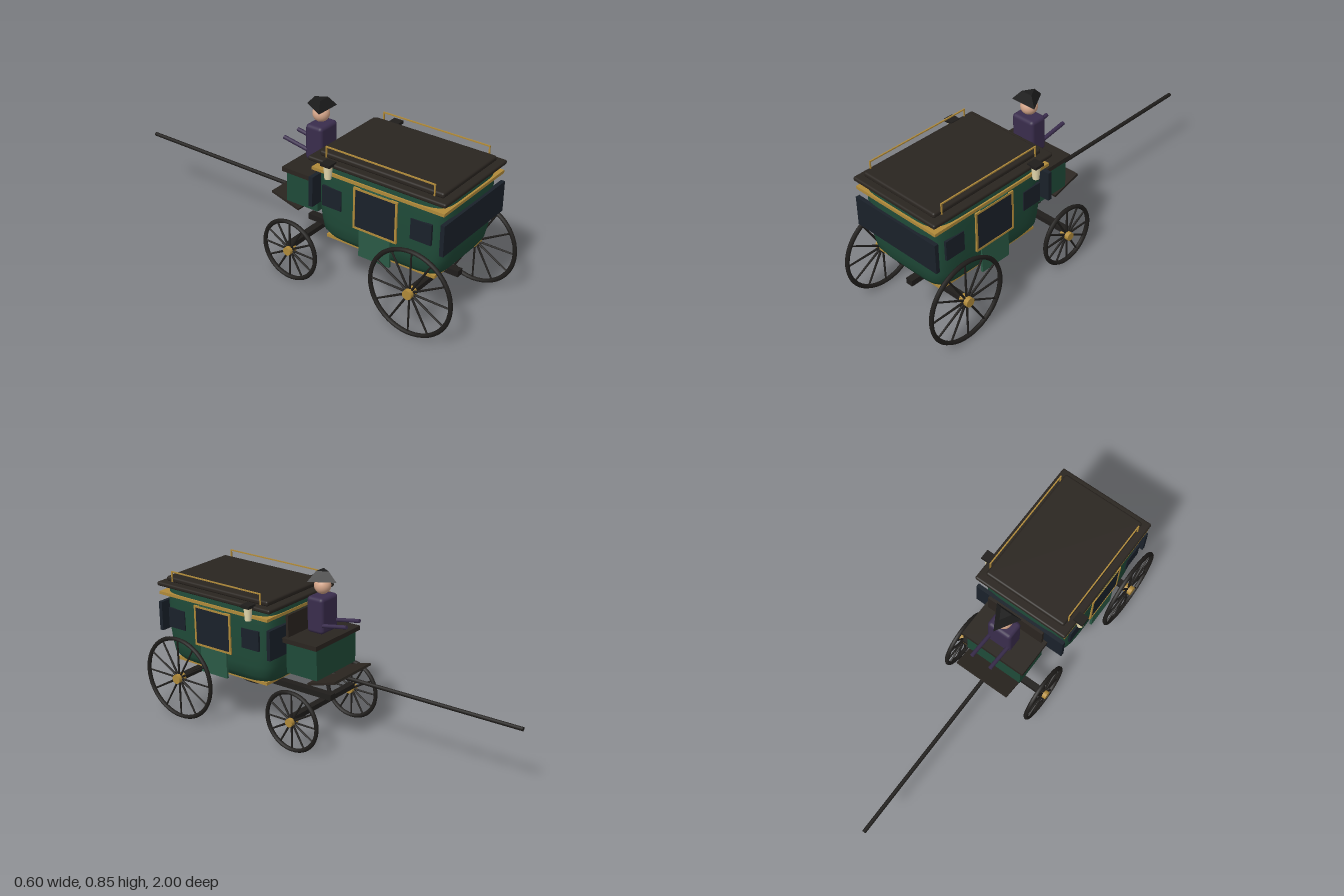
import * as THREE from 'three';
import { RoundedBoxGeometry } from 'three/addons/geometries/RoundedBoxGeometry.js';

const mat = (color) => new THREE.MeshStandardMaterial({ color });

export function createModel() {
  const root = new THREE.Group();
  const green = mat(0x1f4a38), doorGreen = mat(0x2a5a45), gold = mat(0xb08a3a), wood = mat(0x2a2520);
  const glass = mat(0x1a212a), iron = mat(0x201e1c), skin = mat(0xd8a88c), coat = mat(0x3a2d4d);
  const lampGlass = mat(0xe8dcb0), hatBlack = mat(0x1c1c1c);

  const add = (name, geo, material, x = 0, y = 0, z = 0, parent = root) => {
    const m = new THREE.Mesh(geo, material);
    m.name = name;
    m.position.set(x, y, z);
    parent.add(m);
    return m;
  };
  const box = (name, w, h, d, material, x, y, z, parent) =>
    add(name, new THREE.BoxGeometry(w, h, d), material, x, y, z, parent);
  const round = (name, w, h, d, r, material, x, y, z) =>
    add(name, new RoundedBoxGeometry(w, h, d, 3, r), material, x, y, z);

  // Cabin: rounded-rectangle sections lofted upward [y, half width, half length]
  const sections = [
    [0.276, 0.02, 0.03], [0.277, 0.185, 0.28], [0.295, 0.208, 0.302], [0.33, 0.234, 0.322],
    [0.38, 0.239, 0.332], [0.44, 0.243, 0.339], [0.6, 0.245, 0.342], [0.65, 0.24, 0.338], [0.685, 0.236, 0.333],
  ];
  const N = 64, pos = [], idx = [];
  const bend = (v) => Math.sign(v) * Math.pow(Math.abs(v), 0.3);
  sections.forEach(([y, w, l], j) => {
    for (let i = 0; i < N; i++) {
      const a = (i / N) * Math.PI * 2;
      pos.push(w * bend(Math.cos(a)), y, 0.565 + l * bend(Math.sin(a)));
      if (j === sections.length - 1) continue;
      const p = j * N + i, q = j * N + ((i + 1) % N);
      idx.push(p, p + N, q, q, p + N, q + N);
    }
  });
  for (let i = 1; i < N - 1; i++) idx.push(0, i, i + 1);
  const cabin = new THREE.BufferGeometry();
  cabin.setAttribute('position', new THREE.Float32BufferAttribute(pos, 3));
  cabin.setIndex(idx);
  cabin.computeVertexNormals();
  add('cabin', cabin, green);
  box('cabinSill', 0.4, 0.015, 0.58, gold, 0, 0.288, 0.565);
  box('cabinBand', 0.496, 0.015, 0.69, gold, 0, 0.638, 0.568);
  box('rearWindow', 0.5, 0.15, 0.02, glass, 0, 0.515, 0.91);
  box('frontWindow', 0.5, 0.15, 0.02, glass, 0, 0.515, 0.218);

  // Roof
  round('roofEave', 0.51, 0.022, 0.716, 0.009, wood, 0, 0.685, 0.563);
  round('roofTop', 0.44, 0.026, 0.645, 0.01, wood, 0, 0.708, 0.566);

  // Doors, side windows, lamps and roof rails on both sides
  for (const s of [1, -1]) {
    box('doorPanel', 0.012, 0.345, 0.165, doorGreen, s * 0.242, 0.453, 0.568);
    box('doorWindow', 0.012, 0.19, 0.215, glass, s * 0.2425, 0.518, 0.568);
    for (const e of [1, -1]) {
      box('doorFrameRail', 0.014, 0.01, 0.23, gold, s * 0.244, 0.518 + e * 0.098, 0.568);
      box('doorFrameStile', 0.014, 0.2, 0.01, gold, s * 0.244, 0.518, 0.568 + e * 0.11);
      box('sideWindow', 0.012, 0.1, 0.105, glass, s * 0.242, 0.52, 0.568 + e * 0.235);
    }
    add('lamp', new THREE.CylinderGeometry(0.021, 0.016, 0.062, 12), lampGlass, s * 0.264, 0.656, 0.325);
    box('lampCap', 0.052, 0.015, 0.05, iron, s * 0.262, 0.697, 0.325);
    box('railTop', 0.006, 0.006, 0.568, gold, s * 0.222, 0.752, 0.565);
    for (const z of [0.284, 0.846]) box('railPost', 0.006, 0.055, 0.006, gold, s * 0.222, 0.727, z);
  }

  // Wheels: hexagonal-section rim, twelve spokes, hub
  const wheel = (name, x, z, r, hubR) => {
    const g = new THREE.Group();
    g.name = name;
    g.position.set(x, r, z);
    add('rim', new THREE.TorusGeometry(r - 0.011, 0.011, 6, 48), iron, 0, 0, 0, g).rotation.y = Math.PI / 2;
    const len = r - 0.015;
    for (let i = 0; i < 12; i++) {
      const a = (i / 12) * Math.PI * 2;
      const spoke = add('spoke', new THREE.CylinderGeometry(0.0045, 0.006, len, 6), iron,
        0, Math.cos(a) * len / 2, Math.sin(a) * len / 2, g);
      spoke.rotation.x = a;
    }
    add('hub', new THREE.CylinderGeometry(hubR, hubR, 0.05, 16), gold, 0, 0, 0, g).rotation.z = Math.PI / 2;
    root.add(g);
  };
  for (const s of [1, -1]) {
    wheel('rearWheel', s * 0.276, 0.781, 0.219, 0.0235);
    wheel('frontWheel', s * 0.243, 0.091, 0.159, 0.021);
  }

  // Undercarriage and draught pole
  box('rearAxle', 0.54, 0.025, 0.035, iron, 0, 0.222, 0.781);
  box('frontAxle', 0.48, 0.025, 0.035, iron, 0, 0.18, 0.086);
  box('perch', 0.037, 0.03, 0.84, iron, 0, 0.215, 0.447);
  add('pole', new THREE.CylinderGeometry(0.01, 0.01, 1.075, 8), iron, 0, 0.337, -0.4625).rotation.x = Math.PI / 2;

  // Driver's box
  box('seatBox', 0.31, 0.165, 0.18, green, 0, 0.44, 0.096);
  box('seat', 0.35, 0.023, 0.2, wood, 0, 0.528, 0.094);
  box('seatBack', 0.31, 0.12, 0.014, wood, 0, 0.59, 0.18);
  box('footboard', 0.296, 0.012, 0.165, wood, 0, 0.346, -0.012).rotation.x = 0.27;

  // Driver
  round('torso', 0.13, 0.18, 0.095, 0.018, coat, 0, 0.64, 0.088);
  for (const s of [1, -1]) {
    const arm = add('arm', new THREE.CylinderGeometry(0.01, 0.01, 0.14, 8), coat, s * 0.052, 0.607, -0.022);
    arm.rotation.x = -Math.PI / 2 + 0.17;
  }
  add('head', new THREE.SphereGeometry(0.041, 24, 16), skin, 0, 0.775, 0.086);
  const hat = add('hat', new THREE.CylinderGeometry(0.035, 0.08, 0.047, 3), hatBlack, 0, 0.826, 0.085);
  hat.material.flatShading = true;
  hat.rotation.y = Math.PI;

  return root;
}
